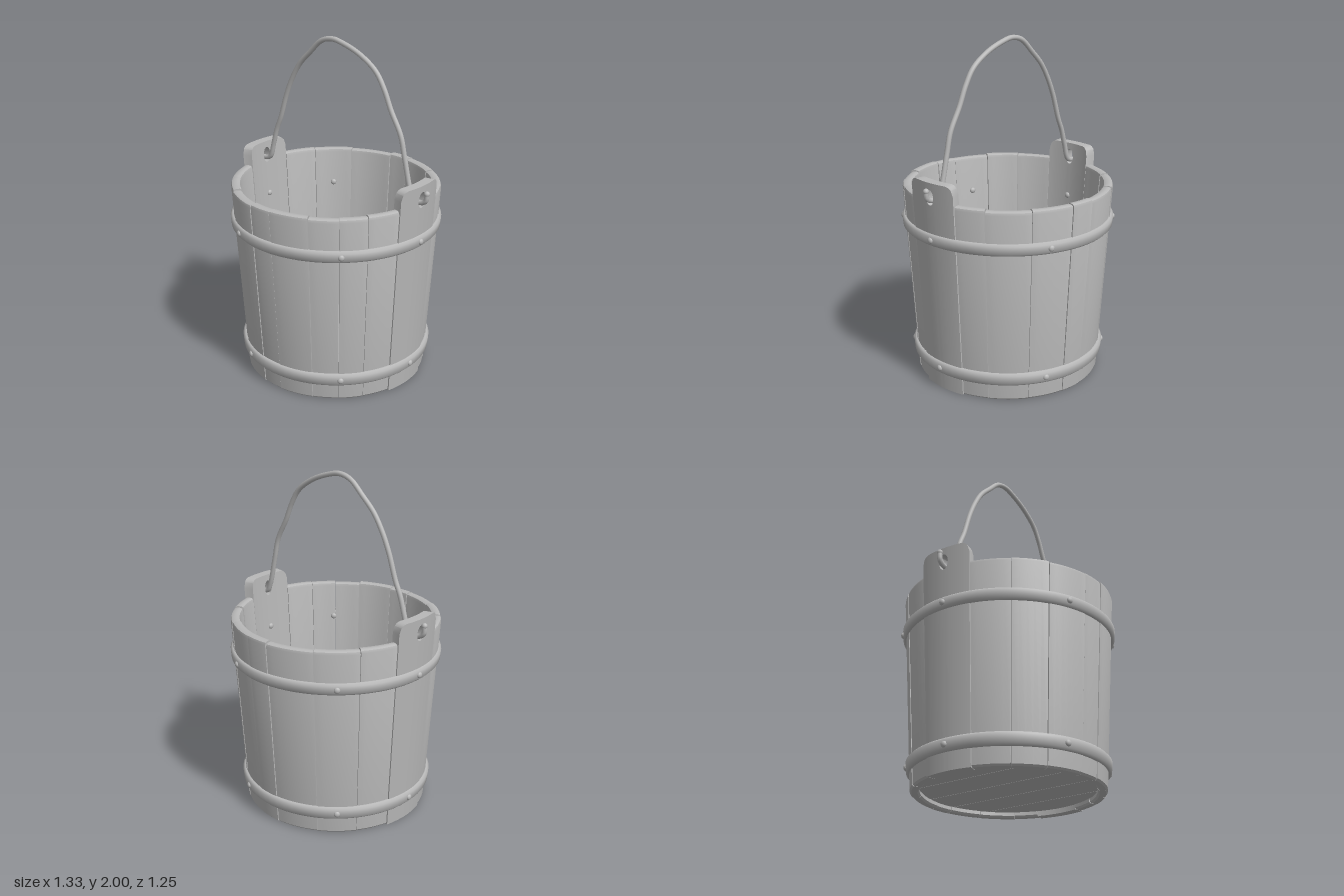
import * as THREE from 'three';
import { mergeGeometries, toCreasedNormals } from 'three/addons/utils/BufferGeometryUtils.js';

const RAD = Math.PI / 180;
const HEIGHT = 1.16, THICK = 0.055, BASE_R = 0.545, FLARE = 0.07;
const outerR = y => BASE_R + FLARE * y / HEIGHT;
const v2 = (x, y) => new THREE.Vector2(x, y);

export function createModel() {
  const model = new THREE.Group();
  const grey = new THREE.MeshStandardMaterial({ color: 0xb8b8b8, side: THREE.DoubleSide });

  const add = (name, geometry, parent = model) => {
    const mesh = new THREE.Mesh(geometry, grey);
    mesh.name = name;
    parent.add(mesh);
    return mesh;
  };
  const group = name => {
    const g = new THREE.Group();
    g.name = name;
    model.add(g);
    return g;
  };

  // Wall staves: partial lathes with rounded rims, closed by end caps
  const staves = group('staves');
  const stave = (a0, a1, h, dr) => {
    const b = 0.01, lo = outerR(0) + dr, hi = outerR(h) + dr;
    const profile = [
      v2(lo - b, 0), v2(lo, b), v2(hi, h - 2 * b), v2(hi - 0.4 * b, h - 0.6 * b), v2(hi - 1.6 * b, h),
      v2(hi - THICK + 1.6 * b, h), v2(hi - THICK + 0.4 * b, h - 0.6 * b), v2(hi - THICK, h - 2 * b),
      v2(lo - THICK, b), v2(lo - THICK + b, 0),
    ];
    const start = (90 - a1) * RAD + 0.003, sweep = (a1 - a0) * RAD - 0.006;
    const wall = new THREE.LatheGeometry([...profile, profile[0]], Math.ceil((a1 - a0) / 4), start, sweep);
    const caps = [start, start + sweep].map(p =>
      new THREE.ShapeGeometry(new THREE.Shape(profile)).rotateY(p - Math.PI / 2));
    add('stave', toCreasedNormals(mergeGeometries([wall, ...caps]), 0.7), staves);
  };
  // Two runs of staves, front and back, between the ears (degrees from +x toward +z)
  const runs = [
    [15.5, 33, 48, 64, 86, 100, 123, 143, 164.5],
    [195.5, 216, 240, 267, 281, 304, 328, 344.5],
  ];
  runs.forEach(run => {
    for (let i = 0; i < run.length - 1; i++) {
      stave(run[i], run[i + 1], HEIGHT - 0.004 * (i % 3), 0.003 * ((i % 2) - 0.5));
    }
  });

  // Tall ear staves: vertical slices around an oval hole, bent to the wall's curve
  const slice = (s0, s1, lo0, lo1, hi0, hi1) => new THREE.ExtrudeGeometry(
    new THREE.Shape([v2(s0, lo0), v2(s1, lo1), v2(s1, hi1), v2(s0, hi0)]),
    { depth: THICK + 0.004, bevelEnabled: false });
  const earTop = s => {
    const t = Math.max(0, Math.abs(s) - 0.115) / 0.046;
    return 1.215 + 0.055 * Math.sqrt(Math.max(0, 1 - t * t));
  };
  const hole = s => 0.047 * Math.sqrt(Math.max(0, 1 - (s / 0.03) ** 2));
  const half = [0, 0.01, 0.02, 0.027, 0.03, 0.07, 0.115, 0.135, 0.15, 0.161];
  const cuts = [...half.slice(1).reverse().map(s => -s), ...half];
  const earParts = [];
  for (let i = 0; i < cuts.length - 1; i++) {
    const a = cuts[i], b = cuts[i + 1], holeY = 1.185;
    if (Math.abs(a + b) < 0.06) {
      earParts.push(slice(a, b, 0, 0, holeY - hole(a), holeY - hole(b)));
      earParts.push(slice(a, b, holeY + hole(a), holeY + hole(b), earTop(a), earTop(b)));
    } else {
      earParts.push(slice(a, b, 0, 0, earTop(a), earTop(b)));
    }
  }
  const ear = mergeGeometries(earParts);
  const pos = ear.attributes.position;
  for (let i = 0; i < pos.count; i++) {
    const y = pos.getY(i), angle = pos.getX(i) / 0.6;
    const r = outerR(y) - THICK + pos.getZ(i);
    pos.setXYZ(i, r * Math.sin(angle), y, r * Math.cos(angle));
  }
  ear.computeVertexNormals();
  const earGeometry = toCreasedNormals(ear, 0.6);
  add('leftEarStave', earGeometry).rotation.y = Math.PI / 2;
  add('rightEarStave', earGeometry).rotation.y = -Math.PI / 2;

  // Floor planks clipped to a circle
  const floor = group('floor');
  const R = 0.496, edges = [-0.495, -0.31, -0.1, 0.107, 0.31, 0.495];
  for (let i = 0; i < edges.length - 1; i++) {
    const t0 = Math.acos(-(edges[i] + 0.002) / R), t1 = Math.acos(-(edges[i + 1] - 0.002) / R);
    const rim = [];
    for (let k = 0; k <= 10; k++) {
      const t = t0 + (t1 - t0) * k / 10;
      rim.push(v2(-R * Math.cos(t), R * Math.sin(t)));
    }
    const outline = [...rim, ...rim.map(p => v2(p.x, -p.y)).reverse()];
    const plank = new THREE.ExtrudeGeometry(new THREE.Shape(outline), { depth: 0.04, bevelEnabled: false });
    add('floorPlank', plank.rotateX(-Math.PI / 2).translate(0, 0.03, 0), floor);
  }

  // Hoops with rounded edges, and rivets showing inside and outside
  const rivets = group('rivets');
  const dome = new THREE.SphereGeometry(0.018, 14, 10);
  [['upperHoop', 0.9, 0.97], ['lowerHoop', 0.1, 0.175]].forEach(([name, y0, y1]) => {
    const b = 0.012, t = 0.02;
    const profile = [
      v2(outerR(y0) - 0.005, y0), v2(outerR(y0) + t - b, y0), v2(outerR(y0) + t, y0 + b),
      v2(outerR(y1) + t, y1 - b), v2(outerR(y1) + t - b, y1), v2(outerR(y1) - 0.005, y1),
    ];
    add(name, toCreasedNormals(new THREE.LatheGeometry(profile, 72), 0.9));
    const y = (y0 + y1) / 2;
    [0, 47, 112, 180, 228, 294].forEach(deg => {
      [outerR(y) + t, outerR(y) - THICK].forEach(r => {
        const rivet = add('rivet', dome, rivets);
        rivet.position.set(r * Math.cos(deg * RAD), y, r * Math.sin(deg * RAD));
        rivet.rotation.y = -deg * RAD;
        rivet.scale.x = 0.7;
      });
    });
  });

  // Bent wire handle hooked through both ears
  const path = [
    [-0.648, 1.235], [-0.645, 1.19], [-0.615, 1.167], [-0.575, 1.165], [-0.535, 1.18], [-0.505, 1.27],
    [-0.475, 1.37], [-0.44, 1.45], [-0.39, 1.6], [-0.34, 1.71], [-0.28, 1.805], [-0.2, 1.885],
    [-0.11, 1.965], [-0.03, 1.985], [0.05, 1.97], [0.17, 1.925], [0.28, 1.85], [0.34, 1.76],
    [0.39, 1.65], [0.46, 1.52], [0.49, 1.4], [0.535, 1.22], [0.56, 1.172], [0.615, 1.167],
    [0.643, 1.185], [0.648, 1.225],
  ].map(([x, y]) => new THREE.Vector3(x, y, -0.005));
  const handle = group('handle');
  add('handleWire', new THREE.TubeGeometry(new THREE.CatmullRomCurve3(path), 140, 0.015, 10), handle);
  [path[0], path[path.length - 1]].forEach(p => {
    add('handleTip', new THREE.SphereGeometry(0.017, 12, 8), handle).position.copy(p);
  });

  return model;
}
